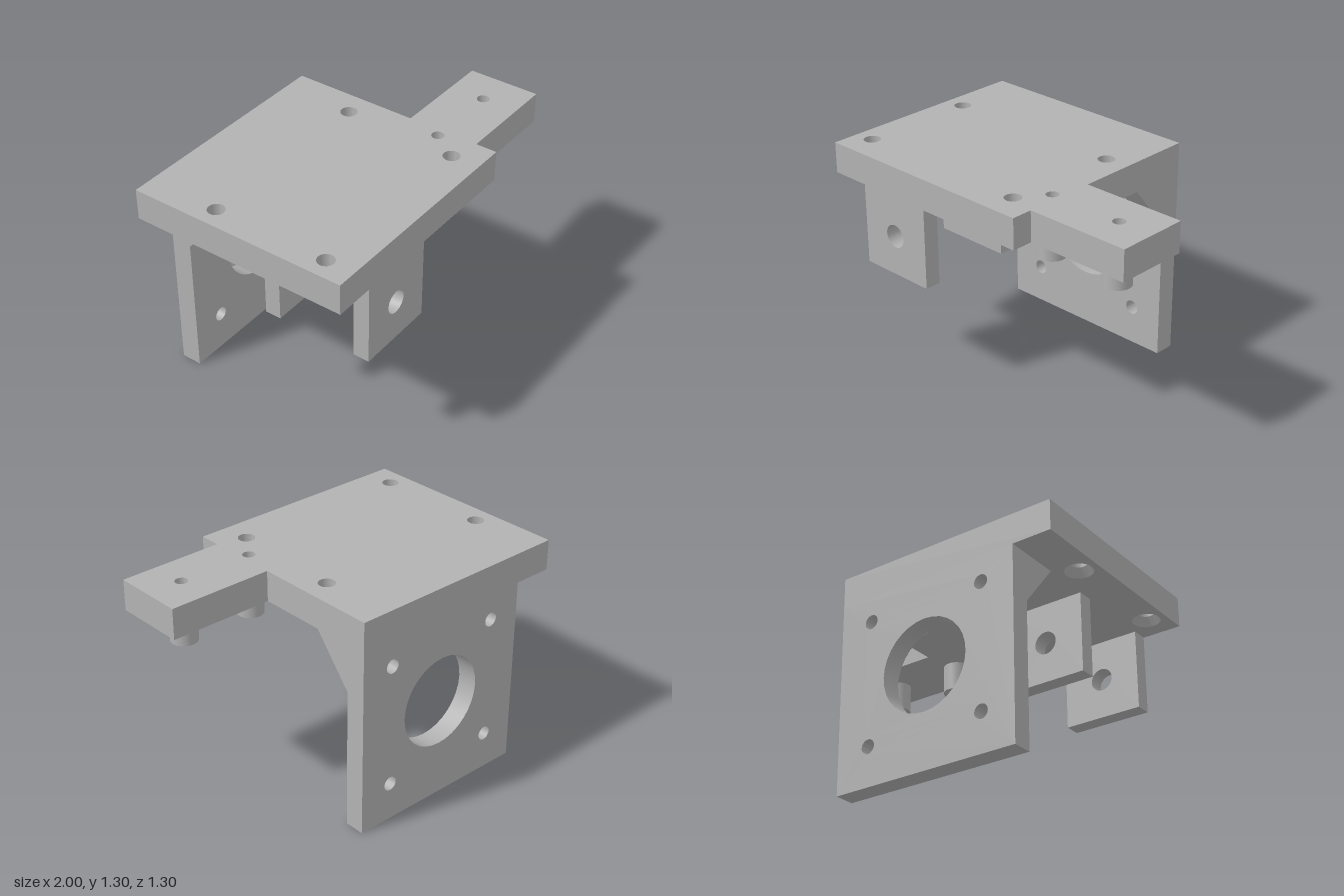
import * as THREE from 'three';
import { toCreasedNormals } from 'three/addons/utils/BufferGeometryUtils.js';

const SEG = 32;
const TOP = 1.3, UNDER = 1.12;          // top plate surfaces
const BACK = -0.65, BACK_INNER = -0.53; // rear wall surfaces
const MID = -0.1925;                    // rear wall centre line

export function createModel() {
  const model = new THREE.Group();
  const grey = new THREE.MeshStandardMaterial({ color: 0xb2b2b2 });
  grey.name = 'greyMetal';

  const add = (name, geometry) => {
    const mesh = new THREE.Mesh(toCreasedNormals(geometry, 0.5), grey);
    mesh.name = name;
    model.add(mesh);
    return mesh;
  };

  // Outline from points, with round holes given as [x, y, radius]
  const outline = (points, holes = []) => {
    const shape = new THREE.Shape(points.map(([x, y]) => new THREE.Vector2(x, y)));
    for (const [x, y, r] of holes) {
      shape.holes.push(new THREE.Path().absarc(x, y, r, 0, Math.PI * 2, false));
    }
    return shape;
  };
  const rect = (x0, x1, y0, y1) => [[x0, y0], [x1, y0], [x1, y1], [x0, y1]];
  const extrude = (shape, depth) =>
    new THREE.ExtrudeGeometry(shape, { depth, bevelEnabled: false, curveSegments: SEG / 2 });
  const lathe = (points) =>
    new THREE.LatheGeometry(points.map(([r, y]) => new THREE.Vector2(r, y)), SEG);

  // Top plate with side arm; the outline is drawn in x and -z
  const screws = [[-0.885, -0.21], [0.235, -0.21], [-0.885, 0.48], [0.21, 0.48]];
  const posts = [[0.33, 0.313], [0.783, 0.313]];
  const sink = 0.08, bore = 0.048, postBore = 0.036;
  const plate = extrude(outline(
    [[-1, -0.65], [0.38, -0.65], [0.38, -0.525], [1, -0.525],
      [1, -0.1], [0.38, -0.1], [0.38, 0.65], [-1, 0.65]],
    [...screws.map(([x, z]) => [x, -z, sink]), ...posts.map(([x, z]) => [x, -z, postBore])],
  ), TOP - UNDER);
  plate.rotateX(-Math.PI / 2).translate(0, UNDER, 0);
  add('topPlate', plate);

  // Screw holes, countersunk from below
  for (const [x, z] of screws) {
    add('countersunkHole', lathe([[sink, TOP], [bore, TOP], [bore, UNDER + 0.05], [sink, UNDER]]))
      .position.set(x, 0, z);
  }

  // Hollow posts under the arm
  for (const [x, z] of posts) {
    add('post', lathe([[postBore, UNDER], [postBore, 0.95], [0.077, 0.95], [0.077, UNDER]]))
      .position.set(x, 0, z);
  }

  // Rear wall with a large opening and four bolt holes
  const boltX = 0.3675, boltR = 0.042;
  const bolts = [];
  for (const s of [-1, 1]) for (const y of [0.23, 0.967]) bolts.push([MID + s * boltX, y, boltR]);
  add('rearWall', extrude(
    outline(rect(-0.765, 0.38, 0, UNDER), [[MID, 0.6, 0.271], ...bolts]),
    BACK_INNER - BACK,
  )).position.z = BACK;

  // Sloped corner braces, notched by the upper bolt holes
  const braceIn = 0.3825, braceOut = 0.5725, braceY = 0.84;
  const half = Math.acos((braceIn - boltX) / boltR);
  for (const s of [-1, 1]) {
    const points = [[braceIn, braceY], [braceOut, braceY], [braceOut, UNDER], [braceIn, UNDER]];
    for (let i = 0; i <= 12; i++) {
      const a = half - (2 * half * i) / 12;
      points.push([boltX + boltR * Math.cos(a), 0.967 + boltR * Math.sin(a)]);
    }
    const brace = extrude(outline(points.map(([x, y]) => [MID + s * x, y])), 1);
    const p = brace.attributes.position;
    for (let i = 0; i < p.count; i++) {
      const reach = 0.23 * (p.getY(i) - braceY) / (UNDER - braceY);
      p.setZ(i, BACK_INNER + p.getZ(i) * reach);
    }
    brace.computeVertexNormals();
    add(s < 0 ? 'rightBrace' : 'leftBrace', brace);
  }

  // Two hanging tabs with a shared pivot hole
  for (const [name, z] of [['frontTab', 0.555], ['middleTab', -0.015]]) {
    add(name, extrude(
      outline(rect(-0.765, -0.29, 0.647, UNDER), [[-0.53, 0.883, 0.067]]), 0.095,
    )).position.z = z;
  }

  return model;
}
